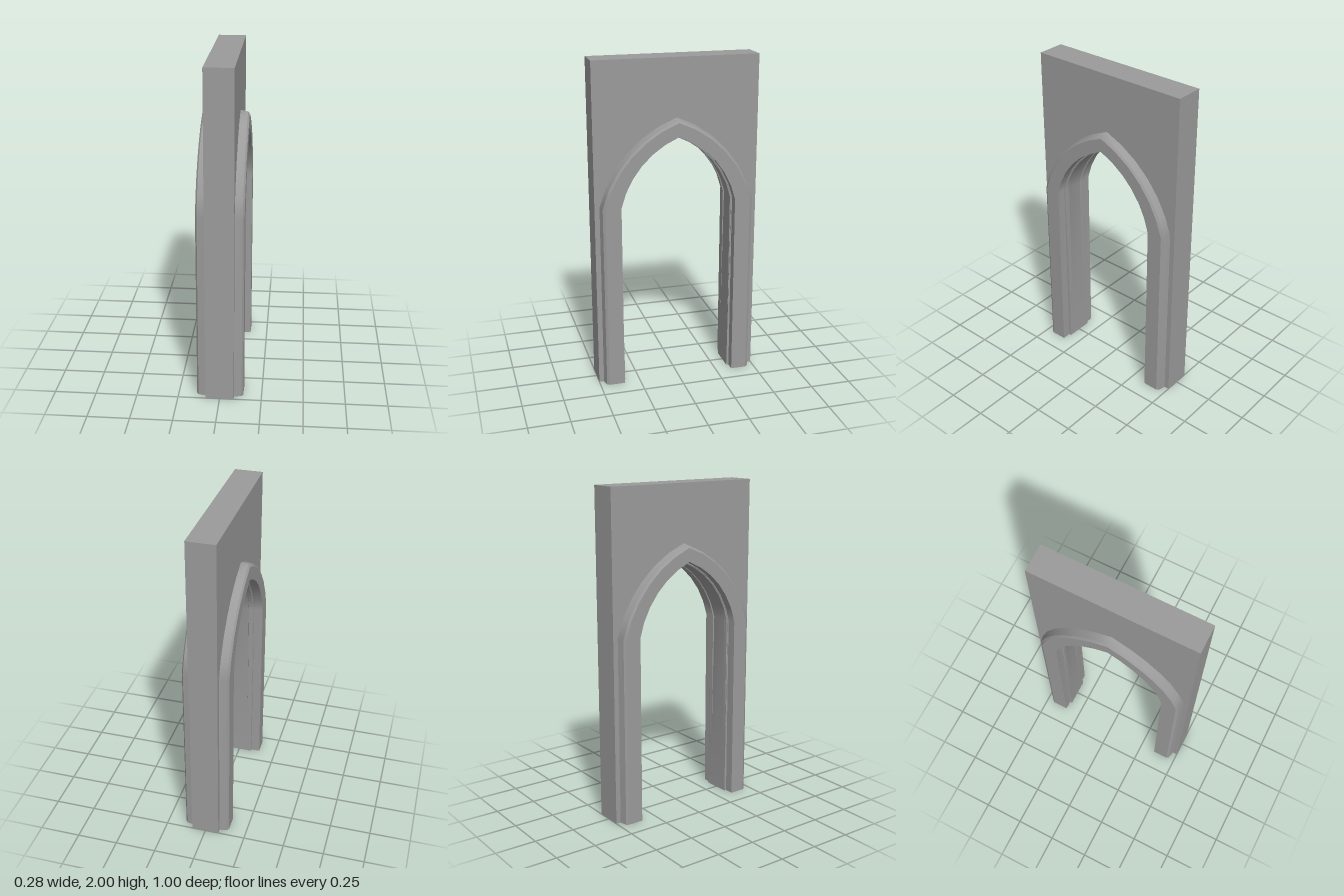
import * as THREE from 'three';
import { toCreasedNormals } from 'three/addons/utils/BufferGeometryUtils.js';

const SPRING = 1.14; // height where the legs end and the curve starts
const SWEEP = 0.98; // turn of each half of the pointed arch
const STEPS = 6;

// Pointed arch outline from the +z foot over the apex to the -z foot
function archPath(halfWidth, apex, footHalfWidth = halfWidth) {
  const chord = Math.hypot(halfWidth, apex - SPRING);
  const r = chord / (2 * Math.sin(SWEEP / 2));
  const start = Math.atan2(apex - SPRING, -halfWidth) - SWEEP / 2 - Math.PI / 2;
  const cz = halfWidth - r * Math.cos(start);
  const cy = SPRING - r * Math.sin(start);
  const half = [new THREE.Vector2(footHalfWidth, 0)];
  for (let i = 0; i < STEPS; i++) {
    const a = start + (SWEEP * i) / STEPS;
    half.push(new THREE.Vector2(cz + r * Math.cos(a), cy + r * Math.sin(a)));
  }
  const mirrored = half.map((p) => new THREE.Vector2(-p.x, p.y)).reverse();
  return [...half, new THREE.Vector2(0, apex), ...mirrored];
}

// Wall slab with the arched doorway cut out from below
function wallGeometry() {
  const outline = [
    new THREE.Vector2(-0.5, 0), new THREE.Vector2(-0.5, 2),
    new THREE.Vector2(0.5, 2), new THREE.Vector2(0.5, 0),
    ...archPath(0.345, 1.54, 0.335),
  ];
  const geo = new THREE.ExtrudeGeometry(new THREE.Shape(outline), { depth: 0.17, bevelEnabled: false });
  geo.translate(0, 0, -0.085).rotateY(Math.PI / 2);
  return toCreasedNormals(geo, 0.4);
}

// Moulding: closed section [x, half width] swept along the arch, capped at the feet
function mouldingGeometry() {
  const section = [
    [0.045, 0.36], [0.055, 0.338], [0.08, 0.338], [0.085, 0.35], [0.14, 0.35],
    [0.14, 0.445], [0.13, 0.46], [0.085, 0.47], [0.045, 0.47],
  ];
  const paths = section.map(([, w]) => archPath(w, 1.545 + (w - 0.35) * 0.875));
  const positions = [];
  const index = [];

  // One strip per section side: sharp between sides, smooth along the arch
  section.forEach(([x], j) => {
    const k = (j + 1) % section.length;
    paths[j].forEach((p, i) => {
      const a = positions.length / 3;
      positions.push(x, p.y, p.x, section[k][0], paths[k][i].y, paths[k][i].x);
      if (i > 0) index.push(a - 2, a, a - 1, a - 1, a, a + 1);
    });
  });

  // Flat undersides of the two feet
  const contour = section.map(([x, w]) => new THREE.Vector2(x, w));
  const faces = THREE.ShapeUtils.triangulateShape(contour, []);
  for (const side of [1, -1]) {
    const base = positions.length / 3;
    section.forEach(([x, w]) => positions.push(x, 0, side * w));
    for (const [a, b, c] of faces) {
      index.push(base + a, base + (side > 0 ? b : c), base + (side > 0 ? c : b));
    }
  }

  const geo = new THREE.BufferGeometry();
  geo.setAttribute('position', new THREE.Float32BufferAttribute(positions, 3));
  geo.setIndex(index);
  geo.computeVertexNormals();
  return geo;
}

export function createModel() {
  const group = new THREE.Group();
  group.name = 'archedDoorway';
  const material = new THREE.MeshStandardMaterial({ color: 0x9b9b9b });

  const wall = new THREE.Mesh(wallGeometry(), material);
  wall.name = 'wall';
  group.add(wall);

  // The same moulding on both faces of the wall
  const moulding = mouldingGeometry();
  ['leftMoulding', 'rightMoulding'].forEach((name, i) => {
    const mesh = new THREE.Mesh(moulding, material);
    mesh.name = name;
    mesh.rotation.y = i * Math.PI;
    group.add(mesh);
  });
  return group;
}
